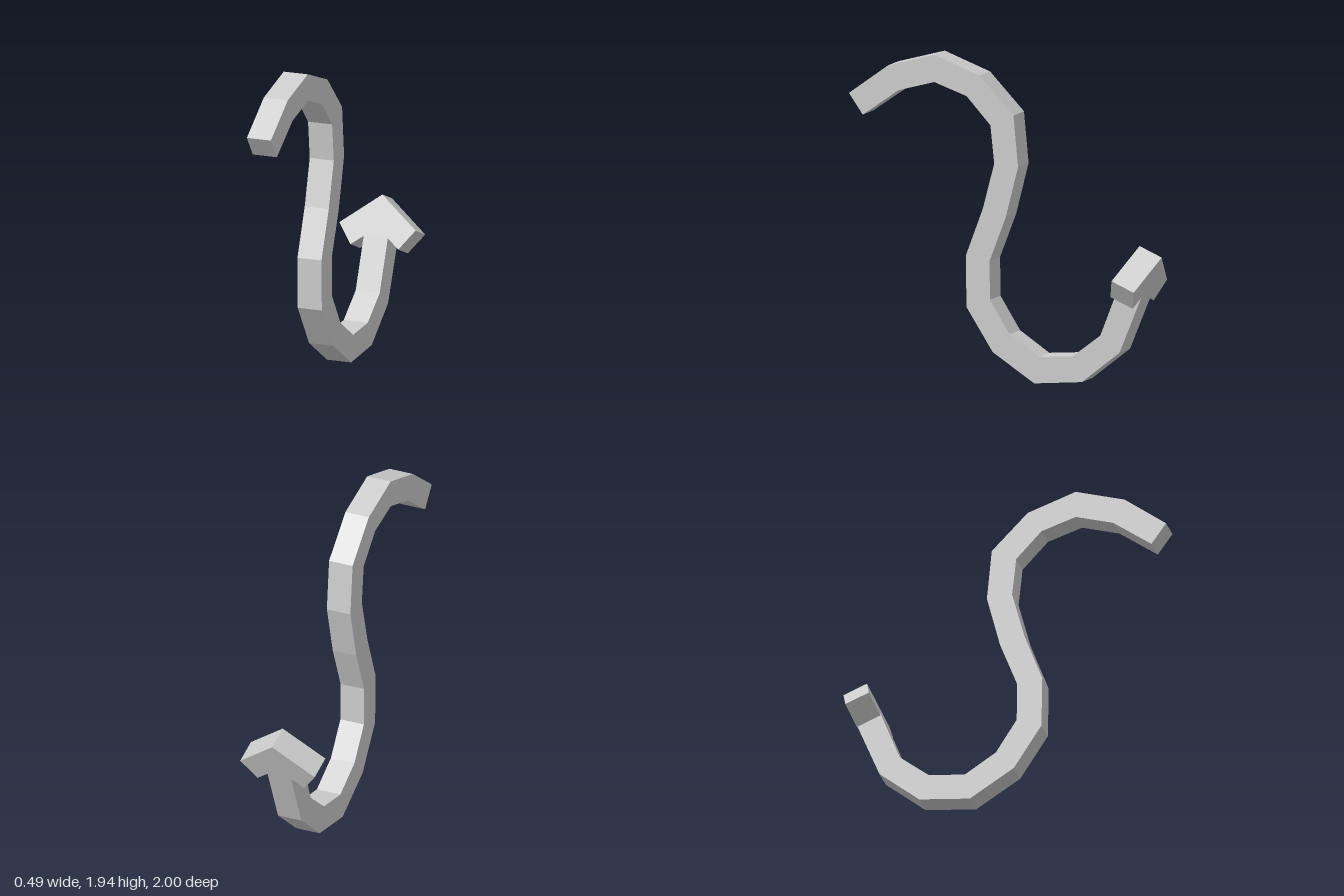
import * as THREE from 'three';

const W = 0.156; // square bar thickness

export function createModel() {
  const group = new THREE.Group();
  const material = new THREE.MeshStandardMaterial({ color: 0xcccccc, flatShading: true });

  const extrude = (points) => new THREE.ExtrudeGeometry(
    new THREE.Shape(points.map(([a, b]) => new THREE.Vector2(a, b))),
    { depth: W, bevelEnabled: false });

  const add = (name, geometry) => {
    const mesh = new THREE.Mesh(geometry, material);
    mesh.name = name;
    group.add(mesh);
    return mesh;
  };

  // S-shaped bar: its two edges as (z, y), from the free end to the arrowhead
  const edgeA = [
    [1, 1.67], [0.745, 1.855], [0.445, 1.94], [0.15, 1.835], [-0.07, 1.61],
    [-0.1, 1.3], [-0.02, 0.99], [0.085, 0.72], [0.083, 0.485], [-0.045, 0.285],
    [-0.235, 0.162], [-0.455, 0.182], [-0.635, 0.32], [-0.756, 0.627],
  ];
  const edgeB = [
    [0.91, 1.545], [0.675, 1.71], [0.445, 1.775], [0.235, 1.705], [0.08, 1.54],
    [0.055, 1.31], [0.13, 1.03], [0.24, 0.74], [0.235, 0.43], [0.065, 0.17],
    [-0.205, 0], [-0.515, 0.03], [-0.76, 0.225], [-0.901, 0.567],
  ];
  const bar = extrude([...edgeA, ...edgeB.reverse()]);
  bar.translate(0, 0, -W / 2).rotateY(-Math.PI / 2);
  add('curvedShaft', bar);

  // Arrowhead: tip at its local origin, tilted to follow the end of the bar
  const half = [[0.247, -0.193], [0.155, -0.317], [W / 2, -0.258]];
  const mirrored = half.map(([x, y]) => [-x, y]).reverse();
  const head = add('arrowhead', extrude([[0, 0], ...half, ...mirrored]));
  head.rotation.x = -0.392;
  head.position.set(0, 0.805, -1);

  return group;
}
